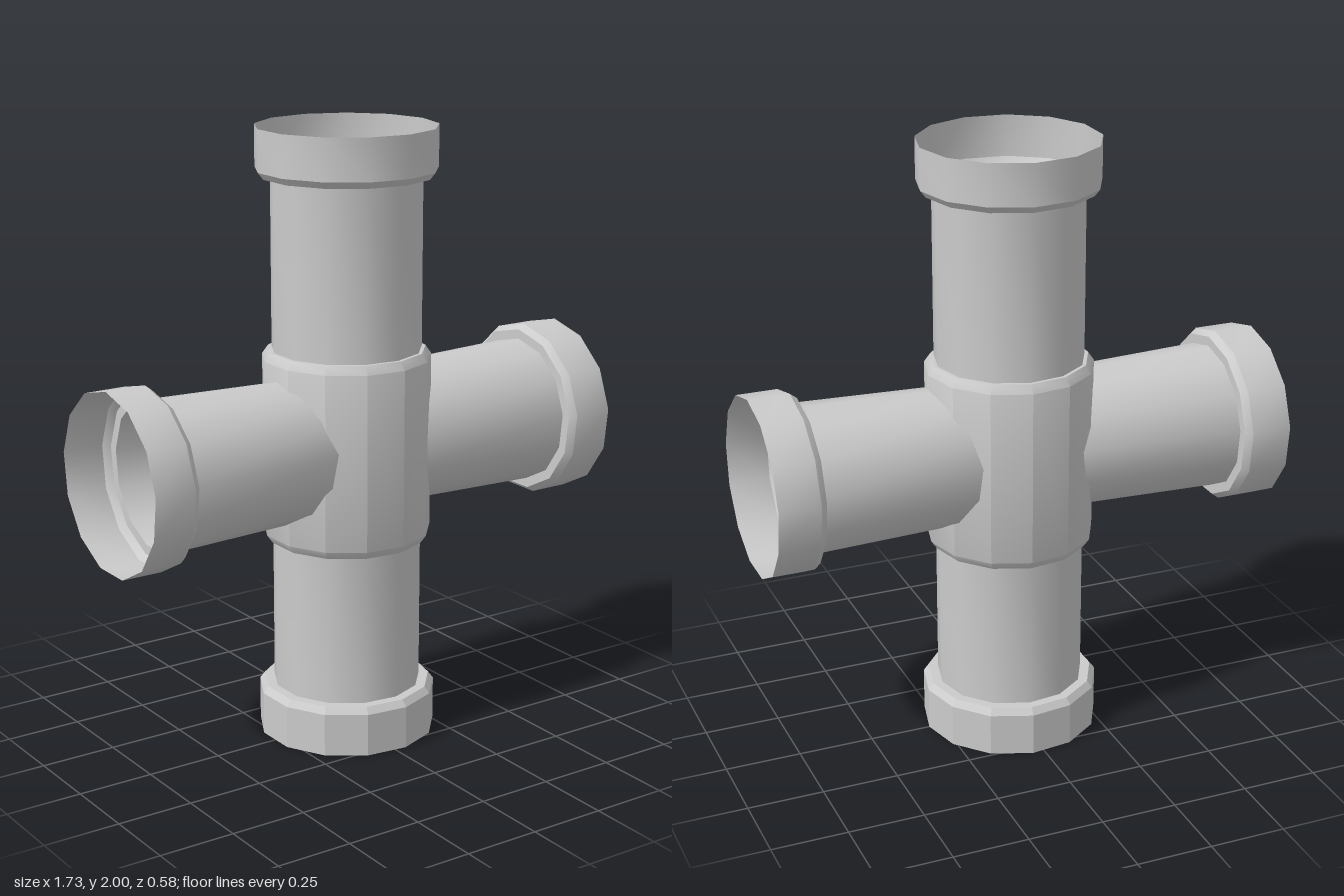
import * as THREE from 'three';
import { toCreasedNormals } from 'three/addons/utils/BufferGeometryUtils.js';

const SIDES = 13;
const R_PIPE = 0.243, R_SOCKET = 0.292, R_STEP = 0.275, R_HUB = 0.274;

const smooth = new THREE.MeshStandardMaterial({ color: 0xcccccc, side: THREE.DoubleSide });
const faceted = new THREE.MeshStandardMaterial({ color: 0xcccccc, side: THREE.DoubleSide, flatShading: true });

// Thin open shell turned from [radius, height] pairs, one corner at phiStart
function turned(profile, phiStart = Math.PI / 2) {
  const points = profile.map(([r, y]) => new THREE.Vector2(r, y));
  return new THREE.LatheGeometry(points, SIDES, phiStart);
}

function addMesh(parent, name, geometry, material = smooth) {
  const mesh = new THREE.Mesh(toCreasedNormals(geometry, 0.6), material);
  mesh.name = name;
  parent.add(mesh);
  return mesh;
}

// Socket profile: step out from the pipe, small chamfer, straight wall to the open rim
function socket(start, end) {
  const d = Math.sign(end - start);
  return [[R_PIPE, start], [R_STEP, start], [R_SOCKET, start + d * 0.022], [R_SOCKET, end]];
}

export function createModel() {
  const model = new THREE.Group();
  model.name = 'pipeCross';

  // Upright run
  const upright = new THREE.Group();
  upright.name = 'uprightRun';
  upright.position.x = 0.004;
  model.add(upright);
  addMesh(upright, 'lowerPipe', turned([[R_PIPE, 0.163], [R_PIPE, 0.66]]));
  addMesh(upright, 'upperPipe', turned([[R_PIPE, 1.29], [R_PIPE, 1.843]]));
  addMesh(upright, 'hub', turned([
    [R_PIPE, 0.66], [0.255, 0.66], [R_HUB, 0.687],
    [R_HUB, 1.263], [0.255, 1.29], [R_PIPE, 1.29],
  ]));
  addMesh(upright, 'topSocket', turned(socket(1.843, 2)));
  addMesh(upright, 'bottomSocket', turned(socket(0.163, 0).reverse()), faceted);

  // Side branches, narrowing front to back where they enter the hub
  const inner = 0.115, outer = 0.71;
  for (const side of [1, -1]) {
    const branch = new THREE.Group();
    branch.name = side > 0 ? 'leftBranch' : 'rightBranch';
    branch.position.y = 0.98;
    branch.rotation.z = -side * Math.PI / 2;
    model.add(branch);

    const phi = -side * Math.PI / 2;
    const pipe = turned([[0.229, inner], [R_PIPE, outer]], phi);
    const pos = pipe.attributes.position;
    for (let i = 0; i < pos.count; i++) {
      if (pos.getY(i) < 0.4) pos.setZ(i, pos.getZ(i) * 0.89);
    }
    addMesh(branch, 'branchPipe', pipe);
    addMesh(branch, 'branchSocket', turned(socket(outer, 0.867), phi));
  }
  return model;
}
